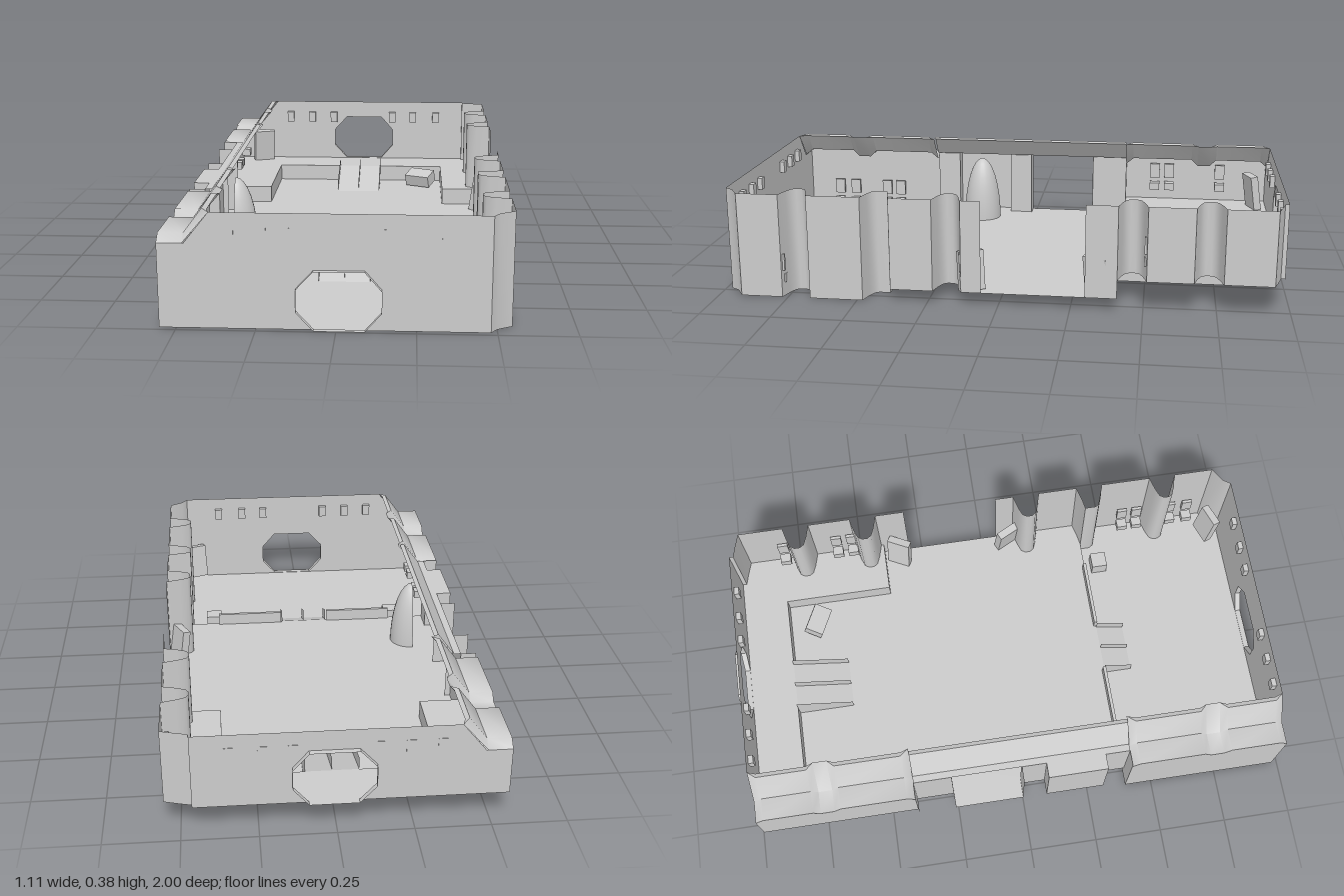
import * as THREE from 'three';
import { toCreasedNormals } from 'three/addons/utils/BufferGeometryUtils.js';

const mat = new THREE.MeshStandardMaterial({ color: 0xcccccc, side: THREE.DoubleSide });
const LOW = 0, MID = 0.045, HIGH = 0.11, TOP = 0.375;

export function createModel() {
  const model = new THREE.Group();

  function add(name, geo) {
    const mesh = new THREE.Mesh(geo, mat);
    mesh.name = name;
    model.add(mesh);
    return mesh;
  }
  // Thin sheet through rows of equally many [x, y, z] points
  function loft(name, rows, crease = 0.9) {
    const n = rows[0].length, idx = [];
    for (let r = 0; r < rows.length - 1; r++) {
      for (let i = 0; i < n - 1; i++) {
        const a = r * n + i, b = a + n;
        idx.push(a, a + 1, b, a + 1, b + 1, b);
      }
    }
    const geo = new THREE.BufferGeometry();
    geo.setAttribute('position', new THREE.Float32BufferAttribute(rows.flat(2), 3));
    geo.setIndex(idx);
    return add(name, toCreasedNormals(geo, crease));
  }
  // Upright sheet over a plan path of [x, z]
  const wall = (name, path, y0, y1) =>
    loft(name, [y0, y1].map(y => path.map(([x, z]) => [x, y, z])));
  // Flat sheet from a plan outline of [x, z]
  function floor(name, outline, y) {
    const shape = new THREE.Shape(outline.map(([x, z]) => new THREE.Vector2(x, -z)));
    add(name, new THREE.ShapeGeometry(shape).rotateX(-Math.PI / 2).translate(0, y, 0));
  }
  function box(name, size, pos, ry = 0, rx = 0) {
    const mesh = add(name, new THREE.BoxGeometry(...size));
    mesh.position.set(...pos);
    mesh.rotation.set(rx, ry, 0, 'YXZ');
  }

  // Scalloped edge of the right-hand side, front to back
  const into = c => [[0.55, c + 0.05], [0.5, c + 0.037], [0.47, c + 0.025], [0.46, c + 0.01]];
  const outOf = c => into(c).map(([x, z]) => [x, 2 * c - z]).reverse();
  const notch = c => [...into(c), ...outOf(c)];
  const frontEdge = [[0.48, 0.98], [0.5, 0.95], [0.55, 0.92], ...notch(0.72), ...into(0.43), [0.46, 0.4]];
  const midEdge = [[0.46, 0.4], [0.5, 0.393], [0.55, 0.38], ...notch(0.18), [0.55, 0.06]];
  const rearEdge = [...notch(-0.46), ...notch(-0.72), [0.55, -0.94], [0.5, -0.955], [0.46, -0.965], [0.46, -0.98]];
  wall('frontScallopedWall', frontEdge, LOW, TOP);
  wall('middleScallopedWall', midEdge, MID, TOP);
  wall('middleWallEnd', [[0.55, -0.3], [0.55, -0.41]], MID, TOP);
  wall('rearScallopedWall', rearEdge, HIGH, TOP);

  // Three floor levels and the risers between them
  floor('lowerFloor', [...frontEdge, [-0.555, 0.4], [-0.555, 0.98]], LOW);
  floor('middleFloor', [...midEdge, [0.55, -0.4], [0.36, -0.4], [0.36, -0.81], [-0.36, -0.81],
    [-0.36, -0.4], [-0.5, -0.4], [-0.5, -0.26], [-0.555, -0.26], [-0.555, 0], [-0.5, 0],
    [-0.5, 0.09], [-0.555, 0.09], [-0.555, 0.31], [-0.5, 0.31], [-0.5, 0.4]], MID);
  floor('upperLedge', [[0.55, -0.4], ...rearEdge, [-0.555, -0.98], [-0.555, -0.4], [-0.36, -0.4],
    [-0.36, -0.81], [0.36, -0.81], [0.36, -0.4]], HIGH);
  wall('frontRiser', [[0.46, 0.4], [-0.555, 0.4]], LOW, MID);
  wall('ledgeRiser', [[0.55, -0.4], [0.36, -0.4], [0.36, -0.81], [-0.36, -0.81],
    [-0.36, -0.4], [-0.555, -0.4]], MID, HIGH);

  // End walls with an octagonal doorway and its short frame
  const octagon = [[-0.07, 0], [0.09, 0], [0.142, 0.06], [0.142, 0.132], [0.09, 0.192],
    [-0.07, 0.192], [-0.125, 0.132], [-0.125, 0.06]];
  for (const [name, side, base, xr] of [['front', 1, LOW, 0.48], ['back', -1, HIGH, 0.46]]) {
    const z = side * 0.98;
    const door = octagon.map(([x, y]) => [x, y + base + 0.002]);
    const shape = new THREE.Shape([[-0.555, base], [xr, base], [xr, TOP], [-0.39, TOP],
      [-0.47, 0.275], [-0.555, 0.275]].map(p => new THREE.Vector2(...p)));
    shape.holes.push(new THREE.Path(door.map(p => new THREE.Vector2(...p))));
    add(name + 'Wall', new THREE.ShapeGeometry(shape).translate(0, 0, z));
    const ring = [...door, door[0]];
    loft(name + 'DoorFrame', [z, side].map(d => ring.map(([x, y]) => [x, y, d])), 0.3);
    // Row of small wall lamps
    for (const x of [-0.33, -0.23, -0.13, 0.14, 0.235, 0.34])
      box(name + 'WallLamp', [0.03, 0.045, 0.02], [x, 0.305, side * 0.972]);
  }

  // Left-hand bays: upright wall, flat shelf and slope up to the inner lip
  const section = (z, y0, dip, out = -0.555) => [
    [out, y0, z], [out, 0.3 - dip, z], [-0.475, 0.3 - dip, z],
    [-0.415 + dip, 0.38 - dip * 0.2, z], [-0.4 + dip * 0.4, 0.375, z]];
  function bays(name, y0, start, end, valleys) {
    const rows = [section(start, y0, 0.025), section(start - 0.03 , y0, 0)];
    for (const v of valleys)
      for (const [d, dip] of [[0.05, 0], [0.025, 0.025], [-0.025, 0.025], [-0.05, 0]])
        rows.push(section(v + d, y0, dip));
    rows.push(section(end + 0.03, y0, 0), section(end, y0, 0.025));
    loft(name, rows);
  }
  bays('frontBays', LOW, 0.98, 0.4, [0.72]);
  bays('rearBays', HIGH, -0.4, -0.98, [-0.455, -0.72].slice(1));
  loft('nicheBay', [[0.4, -0.5], [0.31, -0.5], [0.31, -0.555], [0.09, -0.555], [0.09, -0.5], [0, -0.5]]
    .map(([z, out]) => section(z, MID, 0, out)));
  loft('doorLintel', [0, -0.26].map(z => section(z, MID, 0, -0.5).slice(1)));
  loft('doorSideWall', [-0.26, -0.4].map(z => section(z, MID, 0, -0.5)));
  for (const z of [0, -0.26])
    wall('doorJamb', [[-0.555, z], [-0.48, z]], MID, 0.3);
  wall('doorReturn', [[-0.555, -0.4], [-0.5, -0.4]], MID, 0.3);
  wall('bayReturn', [[-0.555, 0.4], [-0.5, 0.4]], LOW, 0.3);

  // Rounded niche hood against the left wall
  const hood = add('nicheHood', new THREE.SphereGeometry(1, 12, 8, Math.PI / 2, Math.PI, 0, Math.PI / 2));
  hood.scale.set(0.08, 0.25, 0.075);
  hood.position.set(-0.42, MID, 0.2);

  // Ramps with three fin-shaped rails each
  function ramp(name, zHigh, yHigh, zLow, yLow) {
    loft(name, [[zHigh, yHigh], [zLow, yLow]].map(([z, y]) => [[-0.09, y, z], [0.09, y, z]]));
    for (const x of [-0.09, 0, 0.09])
      loft(name + 'Rail', [[[x, yLow, zHigh], [x, yLow, zLow]],
        [[x, yHigh + 0.045, zHigh], [x, yLow + 0.045, zLow]]]);
  }
  ramp('rearRamp', -0.81, HIGH, -0.6, MID);
  ramp('frontRamp', 0.4, MID, 0.51, LOW);

  // Low railings and consoles at the front step
  for (const s of [-1, 1]) {
    box('stepRailing', [0.26, 0.045, 0.012], [s * 0.225, MID + 0.0225, 0.396]);
    box('stepConsole', [0.06, 0.06, 0.06], [s * 0.375, 0.03, 0.46]);
  }

  // Small screens with a seat below, in the bays of both sides
  for (const [z, y] of [[-0.79, HIGH], [-0.58, HIGH], [-0.52, HIGH], [0.58, LOW], [0.64, LOW], [0.78, LOW], [0.85, LOW]]) {
    for (const s of [-1, 1]) {
      box('screen', [0.012, 0.06, 0.04], [s * 0.535, y + 0.125, z]);
      box('seat', [0.035, 0.03, 0.04], [s * 0.515, y + 0.065, z]);
    }
  }

  // Leaning panels
  for (const [x, y, z, ry] of [[0.51, MID, -0.34, 1.1], [0.51, MID, 0.1, -1.1],
    [0.45, LOW + 0.03, 0.92, 0.35], [-0.45, HIGH, -0.92, 0.35]])
    box('leaningPanel', [0.09, 0.14, 0.03], [x, y + 0.07, z, ry].slice(0, 3), ry, 0.15);
  box('pitConsole', [0.11, 0.05, 0.07], [0.27, MID + 0.04, -0.7], -0.45, 0.3);

  return model;
}
